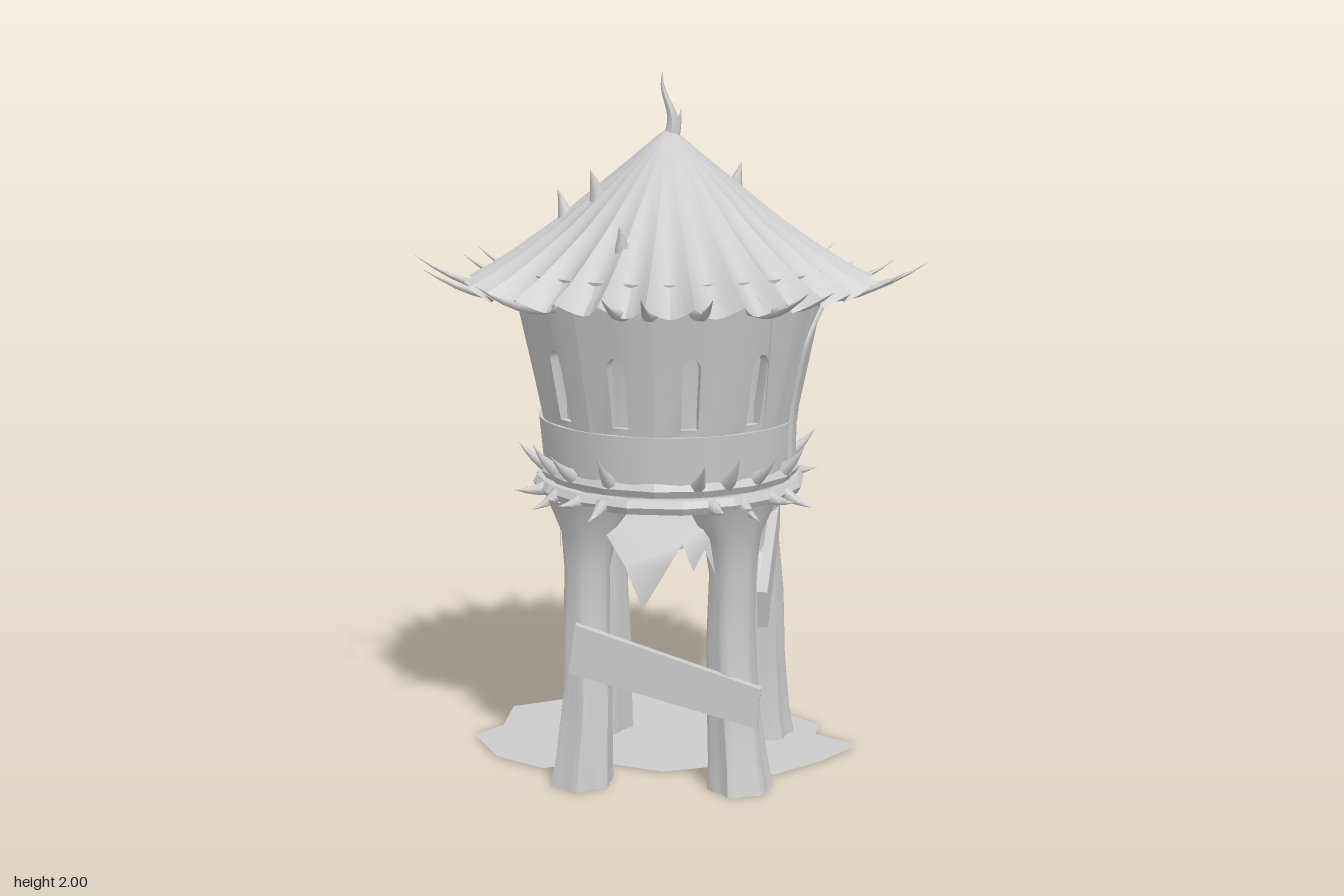
import * as THREE from 'three';
import { toCreasedNormals } from 'three/addons/utils/BufferGeometryUtils.js';

const rad = THREE.MathUtils.degToRad;
const V2 = (x, y) => new THREE.Vector2(x, y);
const smooth = new THREE.MeshStandardMaterial({ color: 0xcccccc });
const thin = new THREE.MeshStandardMaterial({ color: 0xcccccc, side: THREE.DoubleSide });
const faceted = new THREE.MeshStandardMaterial({ color: 0xcccccc, flatShading: true });

// wall radius at a height; angles run from +z towards +x
const wallR = y => 0.36 + 0.075 * Math.pow(Math.max(0, y - 1) / 0.38, 1.2);
const polar = (a, r, y) => new THREE.Vector3(r * Math.sin(a), y, r * Math.cos(a));

function warp(geo, rule) {
  const p = geo.attributes.position, v = new THREE.Vector3();
  for (let i = 0; i < p.count; i++) {
    v.fromBufferAttribute(p, i);
    rule(v);
    p.setXYZ(i, v.x, v.y, v.z);
  }
  geo.computeVertexNormals();
  return geo;
}

export function createModel() {
  const model = new THREE.Group();
  const add = (name, geo, mat = smooth) => {
    const m = new THREE.Mesh(geo, mat);
    m.name = name;
    model.add(m);
    return m;
  };

  // curved horn pointing outwards at an angle, bending upwards
  function horn(name, deg, r0, y0, pitch, len, rad0, bend) {
    const g = new THREE.ConeGeometry(rad0, len, 7, 6).translate(0, len / 2, 0);
    warp(g, v => { v.x -= bend * (v.y / len) ** 2; });
    g.rotateZ(rad(pitch - 90)).translate(r0, y0, 0).rotateY(rad(deg - 90));
    return add(name, toCreasedNormals(g, 1.0));
  }

  // ragged ground patch
  const ground = new THREE.Shape([
    [-0.6, -0.1], [-0.53, -0.2], [-0.53, -0.38], [-0.33, -0.5], [-0.24, -0.61], [-0.1, -0.59],
    [0.05, -0.65], [0.14, -0.57], [0.3, -0.57], [0.3, -0.42], [0.43, -0.3], [0.42, -0.22],
    [0.55, -0.13], [0.45, 0.02], [0.32, 0.15], [0.15, 0.1], [0, 0.16], [-0.2, 0.1], [-0.35, 0.17], [-0.5, 0.08],
  ].map(([x, z]) => V2(x, -z)));
  add('ground', new THREE.ShapeGeometry(ground).rotateX(-Math.PI / 2).translate(0, 0.004, 0), thin);

  // trunk legs: fluted at the foot, flared into the platform, leaning inwards
  const legProfile = [[0, 0], [0.088, 0], [0.08, 0.08], [0.07, 0.25], [0.066, 0.45], [0.064, 0.62], [0.08, 0.73], [0.13, 0.83]];
  [[-0.225, 0.245], [0.22, 0.245], [0.265, -0.22], [-0.23, -0.22]].forEach(([x, z], i) => {
    const g = new THREE.LatheGeometry(legProfile.map(p => V2(...p)), 24);
    warp(g, v => {
      const a = Math.atan2(v.x, v.z);
      const f = 1 + (0.1 * Math.cos(6 * a + i) + 0.03 * Math.cos(3 * a)) * (1 - v.y);
      const lean = 1 - 0.17 * v.y;
      v.x = v.x * f + x * lean + 0.008 * Math.sin(v.y * 8 + i * 2);
      v.z = v.z * f + z * lean + 0.008 * Math.cos(v.y * 7 + i);
    });
    add('leg', toCreasedNormals(g, 0.7));
  });

  // floor and inner wall, seen through the windows
  const core = [[0, 0.8], [0.29, 0.8], [0.335, 0.84], [0.345, 0.9], [0.345, 1.03], [0.35, 1.15], [0.375, 1.3], [0.41, 1.46]];
  add('body', toCreasedNormals(new THREE.LatheGeometry(core.map(p => V2(...p)), 48), 0.6));

  // wall panels with arched window openings
  function panel(deg, half, hasWindow) {
    const us = [-1, -0.5, 0, 0.5, 1].map(k => k * half);
    const s = new THREE.Shape([...us.map(u => V2(u, 1)), ...us.slice().reverse().map(u => V2(u, 1.46))]);
    if (hasWindow) {
      const w = 0.064, hole = new THREE.Path().moveTo(-w, 1.05);
      hole.lineTo(-w, 1.22);
      hole.absellipse(0, 1.22, w, 0.03, Math.PI, 0, true);
      hole.lineTo(w, 1.05);
      hole.lineTo(-w, 1.05);
      s.holes.push(hole);
    }
    const g = new THREE.ExtrudeGeometry(s, { depth: 0.03, bevelEnabled: false, curveSegments: 5 });
    warp(g, v => v.copy(polar(v.x + rad(deg), wallR(v.y) + v.z - 0.03, v.y)));
    add('wallPanel', toCreasedNormals(g, 0.6));
  }
  for (let k = 0; k < 12; k++) {
    const deg = 15 + 30 * k;
    if (deg === 75 || deg === 105) [-7.5, 7.5].forEach(d => panel(deg + d, rad(7.5), false));
    else panel(deg, rad(15), true);
  }

  // lower band, open where the door stands
  const band = [[0.345, 0.88], [0.358, 0.88], [0.372, 1.03], [0.35, 1.03]].map(p => V2(...p));
  add('lowerBand', toCreasedNormals(new THREE.LatheGeometry(band, 48, rad(108), rad(324)), 0.6), thin);

  // arched door and frame on the +x side
  const doorTop = k => 1.22 + 0.12 * Math.sqrt(Math.max(0, 1 - k * k));
  const doorPoint = (k, y, out) => polar(Math.PI / 2 + k * 0.3, wallR(y) + out, y);
  add('door', warp(new THREE.PlaneGeometry(2, 1, 16, 8), v =>
    v.copy(doorPoint(v.x, 0.88 + (v.y + 0.5) * (doorTop(v.x) - 0.88), 0.004))), thin);
  const arch = [doorPoint(-1, 0.88, 0.004), doorPoint(-1, 1.05, 0.004)];
  for (let i = 0; i <= 10; i++) {
    const k = -Math.cos(i / 10 * Math.PI);
    arch.push(doorPoint(k, doorTop(k), 0.004));
  }
  arch.push(doorPoint(1, 1.05, 0.004), doorPoint(1, 0.88, 0.004));
  add('doorFrame', new THREE.TubeGeometry(new THREE.CatmullRomCurve3(arch), 48, 0.011, 6));

  // pleated roof with a scalloped rim
  const roofProfile = [[0.55, 1.385], [0.49, 1.43], [0.42, 1.488], [0.32, 1.57], [0.23, 1.65], [0.1, 1.76], [0.03, 1.82], [0, 1.84]];
  const roof = warp(new THREE.LatheGeometry(roofProfile.map(p => V2(...p)), 28 * 6), v => {
    const r = Math.hypot(v.x, v.z), a = Math.atan2(v.x, v.z), t = r / 0.55;
    const ridge = 1 - Math.abs(Math.sin(14 * a));
    const s = 1 + t ** 4 * (0.09 * ridge - 0.03 + 0.015 * Math.sin(5 * a));
    v.x *= s;
    v.z *= s;
    v.y += t * t * (0.035 * ridge - 0.005);
  });
  add('roof', toCreasedNormals(roof, 0.5), thin);

  // horns under the roof rim: angle, reach
  [[92, 0.7], [82, 0.645], [108, 0.64], [121, 0.58], [140, 0.67], [165, 0.65], [180, 0.64], [188, 0.64],
    [201, 0.655], [218, 0.69], [242, 0.665], [253, 0.63], [270, 0.7], [287, 0.67], [320, 0.675],
    [351, 0.64], [0, 0.645], [16, 0.635], [37, 0.68], [53, 0.58]].forEach(([deg, reach]) => {
    const len = reach - 0.43;
    horn('rimHorn', deg, 0.44, 1.39, -12, len, 0.027, len * 0.52);
  });

  // small thorns on the roof slope
  [[-0.3, 0, 1.58], [-0.19, 0.13, 1.65], [-0.09, 0.35, 1.52], [0.18, -0.13, 1.65], [0.2, -0.28, 1.54]].forEach(([x, z, y]) =>
    horn('roofThorn', THREE.MathUtils.radToDeg(Math.atan2(x, z)), Math.hypot(x, z) - 0.01, y, 76, 0.09, 0.027, -0.006));

  // twisted finial
  const finial = new THREE.ConeGeometry(0.024, 0.2, 7, 10).translate(0, 1.9, 0);
  warp(finial, v => { v.x += 0.013 * Math.sin((v.y - 1.8) * 28) - 0.04 * (v.y - 1.8); });
  add('finial', finial);
  horn('finialThorn', 80, 0.015, 1.81, 70, 0.09, 0.015, 0.01);

  // log rings around the platform
  [[0.352, 0.88], [0.368, 0.836]].forEach(([r, y], i) => {
    const g = new THREE.TorusGeometry(r, 0.023, 6, 16).rotateX(Math.PI / 2).rotateY(i * 0.2);
    add('logRing', g.translate(0, y, 0), faceted);
  });

  // clusters of horns above the legs
  for (let c = 0; c < 4; c++) {
    const mid = 45 + 90 * c;
    [-26, -12, 3, 24].forEach((d, i) => horn('upperHorn', mid + d, 0.35, 0.89, 25 + 8 * (i % 2), 0.11, 0.024, 0.03));
    [-20, -6, 10, 22].forEach((d, i) => horn('lowerHorn', mid + d, 0.37, 0.835, -12 - 22 * (i % 2), 0.09, 0.022, 0.02));
  }

  // torn cloth hanging below the platform
  function cloth(deg, points) {
    const g = new THREE.ShapeGeometry(new THREE.Shape(points.map(p => V2(...p))));
    warp(g, v => { v.z = Math.sqrt(0.315 ** 2 - v.x ** 2); });
    add('tornCloth', g.rotateY(rad(deg)), thin);
  }
  cloth(0, [[-0.2, 0.84], [-0.17, 0.77], [-0.09, 0.65], [-0.04, 0.53], [0.03, 0.65], [0.07, 0.72],
    [0.1, 0.64], [0.13, 0.7], [0.21, 0.49], [0.25, 0.84]]);
  const strips = [[-0.14, 0.84], [-0.12, 0.66], [-0.09, 0.76], [-0.06, 0.6], [-0.03, 0.77], [0.01, 0.68],
    [0.05, 0.78], [0.09, 0.57], [0.11, 0.74], [0.13, 0.66], [0.15, 0.84]];
  cloth(-72, strips);
  cloth(195, strips.map(([x, y]) => [x * 0.8, 0.84 - (0.84 - y) * 0.75]));

  // nailed planks, drawn flat and turned to their side
  function plank(corners, depth, deg) {
    const g = new THREE.ExtrudeGeometry(new THREE.Shape(corners.map(p => V2(...p))), { depth: 0.028, bevelEnabled: false });
    add('plank', g.translate(0, 0, depth).rotateY(rad(deg)));
  }
  plank([[-0.25, 0.34], [0.28, 0.195], [0.29, 0.31], [-0.23, 0.48]], 0.285, 0);
  plank([[-0.28, 0.48], [0.25, 0.64], [0.25, 0.74], [-0.31, 0.59]], 0.278, 90);
  plank([[-0.1, 0.535], [0.25, 0.485], [0.26, 0.585], [-0.02, 0.63]], 0.262, 90);
  plank([[-0.28, 0.64], [0.27, 0.47], [0.25, 0.58], [-0.27, 0.745]], 0.262, 180);

  return model;
}
